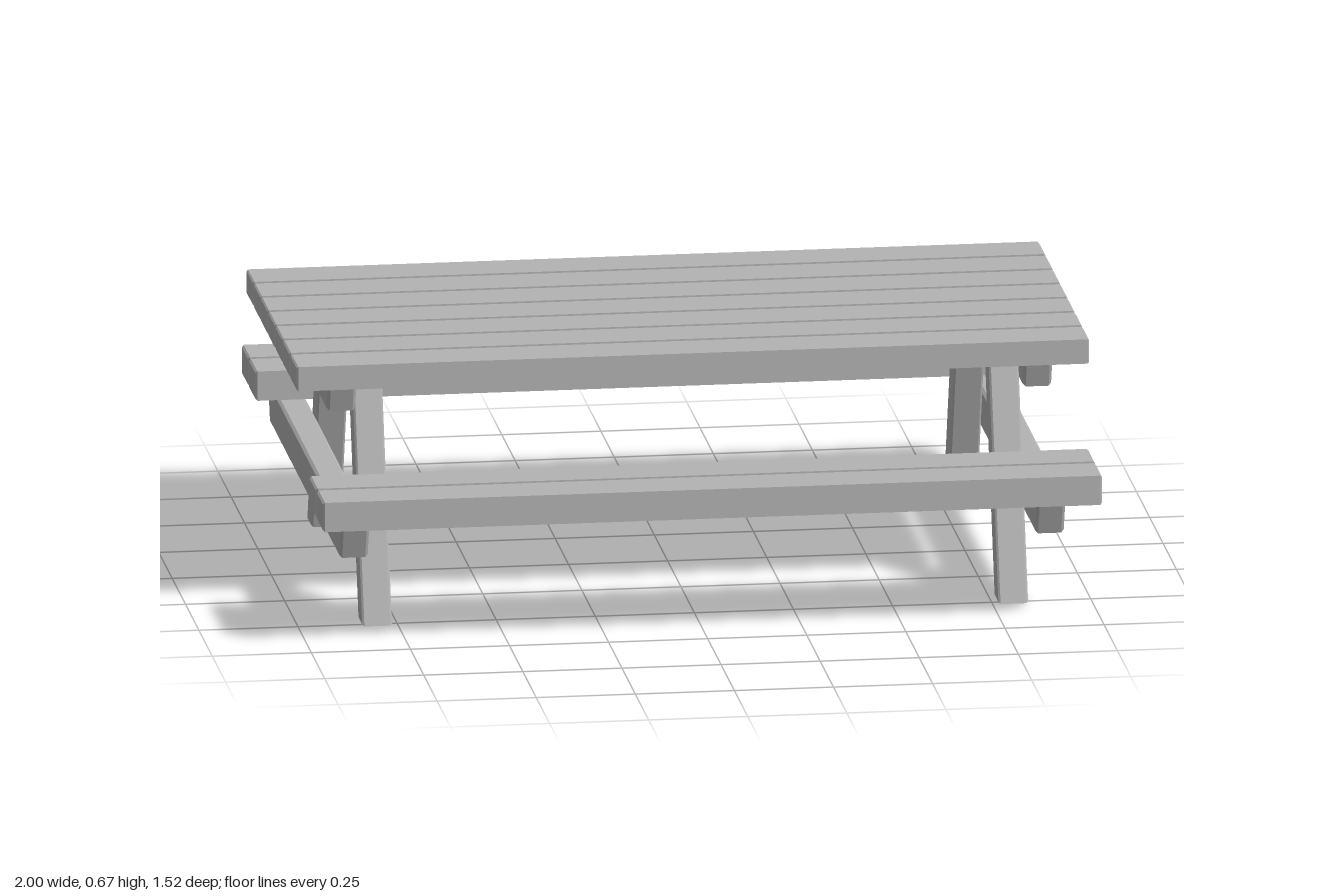
import * as THREE from 'three';

const timber = new THREE.MeshStandardMaterial({ color: 0xb3b3b3 });
timber.name = 'grey timber';

// Beam with a (z, y) outline running along x from x0 to x1, edges chamfered by b
function beam(name, outline, x0, x1, b) {
  const shape = new THREE.Shape(outline.map(([z, y]) => new THREE.Vector2(z, y)));
  const geo = new THREE.ExtrudeGeometry(shape, {
    depth: x1 - x0 - 2 * b,
    bevelEnabled: true,
    bevelThickness: b,
    bevelSize: b,
    bevelOffset: -b,
    bevelSegments: 1,
  });
  geo.translate(0, 0, b - (x1 - x0) / 2);
  geo.rotateY(-Math.PI / 2);
  geo.translate((x0 + x1) / 2, 0, 0);
  const mesh = new THREE.Mesh(geo, timber);
  mesh.name = name;
  return mesh;
}

const rect = (z, w, y0, y1) => [
  [z - w / 2, y0], [z + w / 2, y0], [z + w / 2, y1], [z - w / 2, y1],
];

export function createModel() {
  const table = new THREE.Group();
  table.name = 'picnicTable';

  const plankWidth = 0.121, pitch = 0.137;

  // Table top: seven planks
  const top = new THREE.Group();
  top.name = 'tableTop';
  for (let i = -3; i <= 3; i++) {
    top.add(beam('topPlank', rect(0.005 + i * pitch, plankWidth, 0.603, 0.666), -1, 1, 0.004));
  }
  table.add(top);

  // Benches: two planks on each side, slightly offset along the length
  for (const side of [1, -1]) {
    const bench = new THREE.Group();
    bench.name = side > 0 ? 'frontBench' : 'backBench';
    for (const z of [0.702, 0.565]) {
      bench.add(beam('seatPlank', rect(side * z, plankWidth, 0.314, 0.39), -0.972, 0.994, 0.005));
    }
    table.add(bench);
  }

  // End frames: splayed legs with tapered rails bolted to the outside
  for (const side of [1, -1]) {
    const frame = new THREE.Group();
    frame.name = side > 0 ? 'leftFrame' : 'rightFrame';
    const span = (a, b) => (side > 0 ? [a, b] : [-b, -a]);
    const [l0, l1] = span(0.765, 0.84);
    const [r0, r1] = span(0.842, 0.914);

    frame.add(beam('frontLeg', [[0.441, 0], [0.52, 0], [0.328, 0.603], [0.249, 0.603]], l0, l1, 0.005));
    frame.add(beam('backLeg', [[-0.517, 0], [-0.438, 0], [-0.246, 0.603], [-0.325, 0.603]], l0, l1, 0.005));
    frame.add(beam('topRail', [[-0.394, 0.529], [0.402, 0.529], [0.427, 0.602], [-0.42, 0.602]], r0, r1, 0.007));
    frame.add(beam('seatRail', [[-0.668, 0.212], [0.638, 0.212], [0.675, 0.313], [-0.705, 0.313]], r0, r1, 0.007));
    table.add(frame);
  }

  return table;
}
